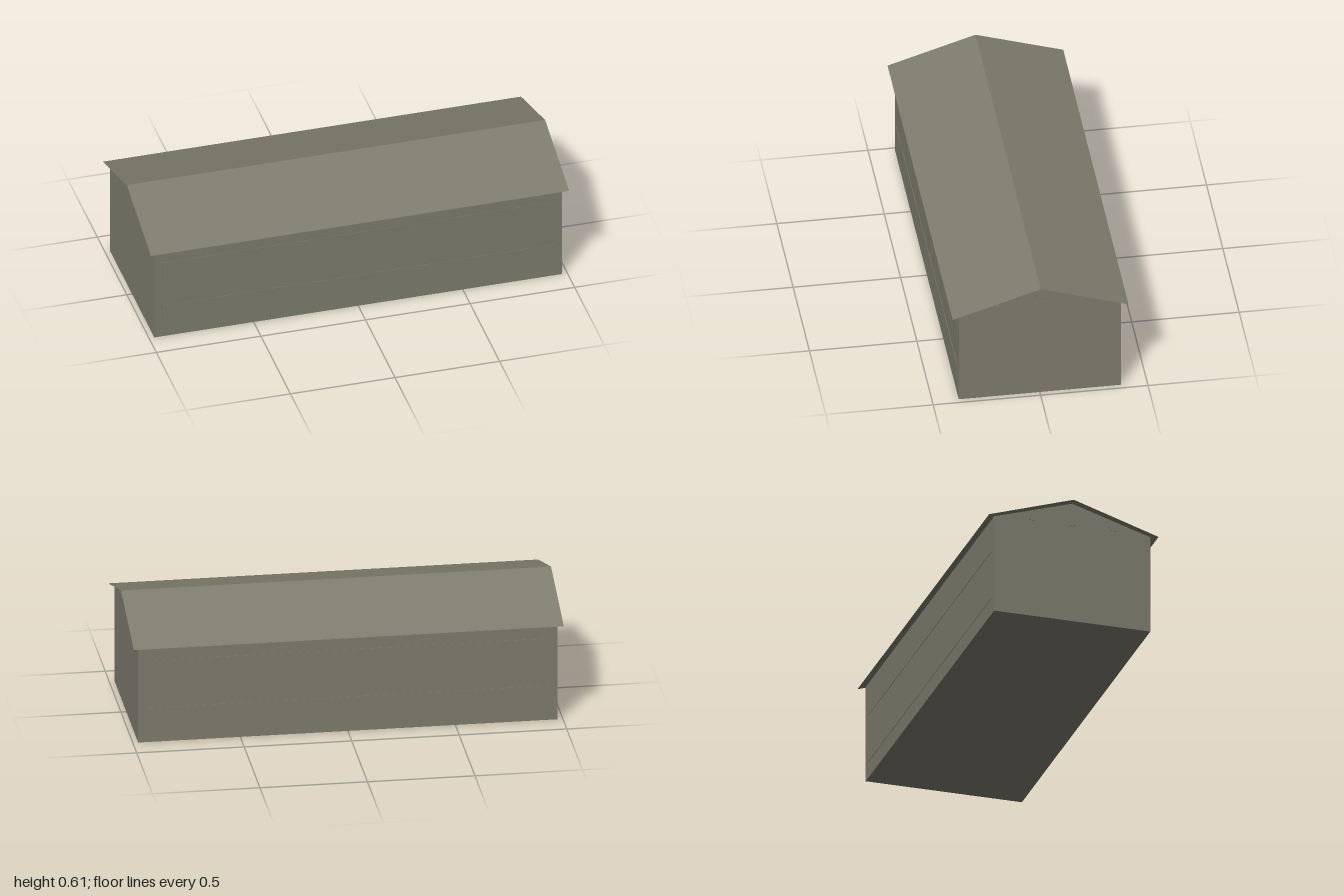
import * as THREE from 'three';

export function createModel() {
  const model = new THREE.Group();
  model.name = 'longShed';
  const paint = new THREE.MeshStandardMaterial({ color: 0x7f7d6e, side: THREE.DoubleSide });
  paint.name = 'olive grey';

  const add = (name, geometry, x = 0, y = 0, z = 0) => {
    const mesh = new THREE.Mesh(geometry, paint);
    mesh.name = name;
    mesh.position.set(x, y, z);
    model.add(mesh);
    return mesh;
  };

  // Closed hall with gabled ends, extruded along x
  const length = 1.95, halfDepth = 0.377;
  const gable = new THREE.Shape([
    new THREE.Vector2(-halfDepth, 0),
    new THREE.Vector2(halfDepth, 0),
    new THREE.Vector2(halfDepth, 0.479),
    new THREE.Vector2(0, 0.596),
    new THREE.Vector2(-halfDepth, 0.479),
  ]);
  const hall = new THREE.ExtrudeGeometry(gable, { depth: length, bevelEnabled: false });
  hall.translate(0, 0, -length / 2).rotateY(Math.PI / 2);
  add('walls', hall);

  // Two thin overhanging roof sheets meeting at the ridge
  const ridgeY = 0.605, eaveY = 0.474, eaveZ = 0.409;
  const slopeLength = Math.hypot(eaveZ, ridgeY - eaveY);
  const pitch = Math.atan2(ridgeY - eaveY, eaveZ);
  for (const side of [1, -1]) {
    const sheet = new THREE.PlaneGeometry(2, slopeLength).rotateX(-Math.PI / 2);
    const roof = add(side > 0 ? 'frontRoof' : 'backRoof', sheet, 0, (ridgeY + eaveY) / 2, side * eaveZ / 2);
    roof.rotation.x = side * pitch;

    // Long window bands on the side walls
    for (const y of [0.125, 0.36]) {
      add('windowBand', new THREE.BoxGeometry(1.87, 0.09, 0.004), 0, y, side * halfDepth);
    }

    // Small vents high on each gable
    for (const z of [-0.2, 0, 0.2]) {
      add('gableVent', new THREE.BoxGeometry(0.004, 0.03, 0.04), side * length / 2, 0.5, z);
    }
  }
  return model;
}
